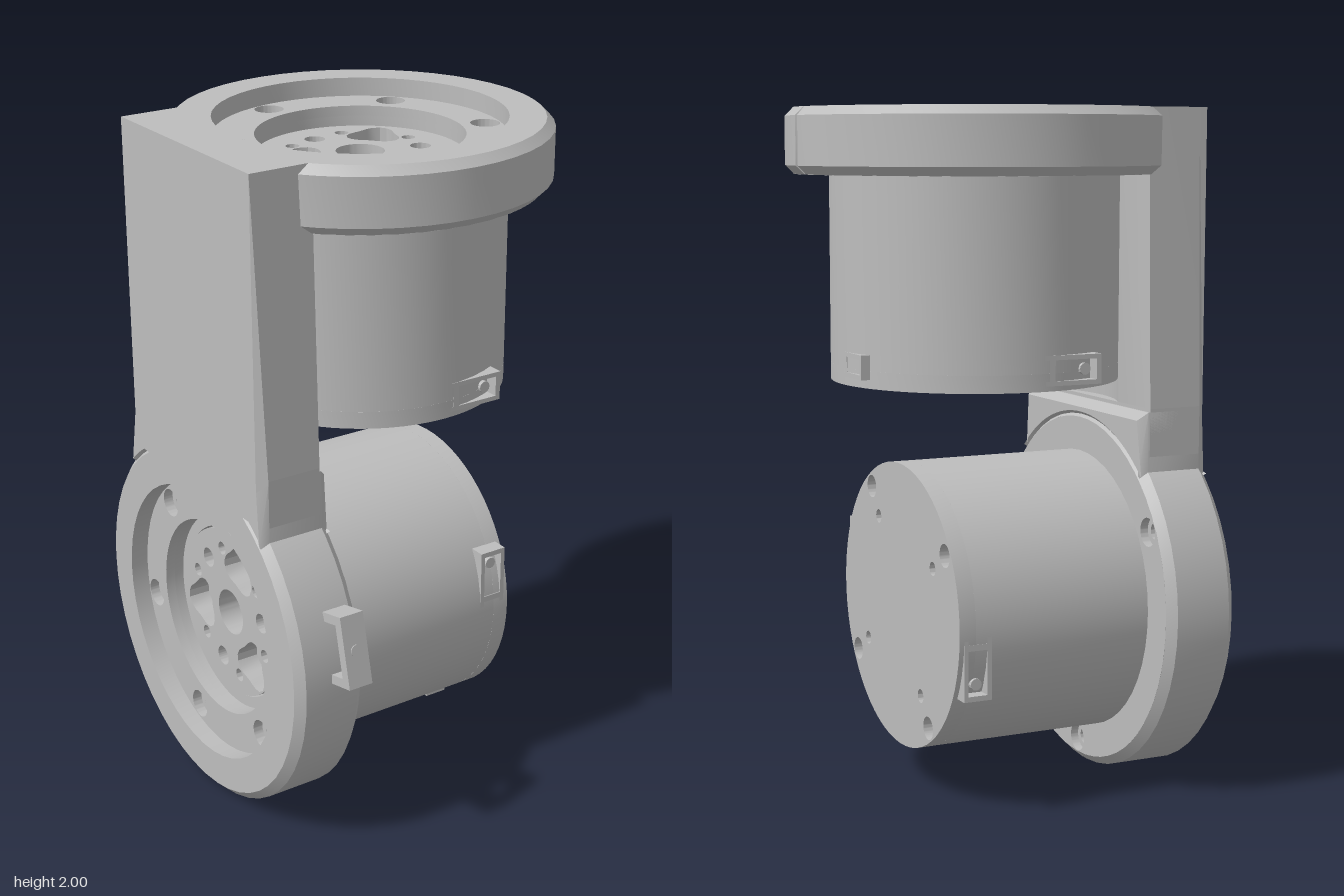
import * as THREE from 'three';
import { toCreasedNormals } from 'three/addons/utils/BufferGeometryUtils.js';

const CZ = -0.042;   // both motor axes lie in this plane
const R = 0.55;      // flange radius
const TAU = Math.PI * 2;

export function createModel() {
  const grey = new THREE.MeshStandardMaterial({ color: 0xbdbdbd });
  grey.name = 'machined grey';

  const add = (parent, name, geo) => {
    const mesh = new THREE.Mesh(toCreasedNormals(geo, 0.5), grey);
    mesh.name = name;
    parent.add(mesh);
    return mesh;
  };

  // evenly spaced round holes: count, pitch radius, hole radius, first angle in degrees
  const ring = (count, pitch, r, start) => Array.from({ length: count }, (_, i) => {
    const a = start * Math.PI / 180 + i * TAU / count;
    return new THREE.Path().absarc(pitch * Math.cos(a), pitch * Math.sin(a), r, 0, TAU, true);
  });

  // three-lobed lightening hole
  const lobe = (pitch, deg) => {
    const a = deg * Math.PI / 180, pts = [];
    for (let i = 0; i < 24; i++) {
      const t = -i * TAU / 24, r = 0.072 + 0.012 * Math.cos(3 * (t - a));
      pts.push(new THREE.Vector2(pitch * Math.cos(a) + r * Math.cos(t), pitch * Math.sin(a) + r * Math.sin(t)));
    }
    return new THREE.Path(pts);
  };

  // drilled disc or annulus whose upper face is at y = top
  const disc = (rOut, rIn, top, depth, holes) => {
    const s = new THREE.Shape().absarc(0, 0, rOut, 0, TAU, false);
    if (rIn) s.holes.push(new THREE.Path().absarc(0, 0, rIn, 0, TAU, true));
    s.holes.push(...holes);
    return new THREE.ExtrudeGeometry(s, { depth, bevelEnabled: false, curveSegments: 32 })
      .rotateX(Math.PI / 2).translate(0, top, 0);
  };

  const rect = (P, x, y, w, h) => new P([
    [-1, -1], [1, -1], [1, 1], [-1, 1],
  ].map(([u, v]) => new THREE.Vector2(x + u * w / 2, y + v * h / 2)));

  // socket frame with pins; faces +z before being turned round the motor
  const socket = (parent, name, angle, y, width, height, openings, pins) => {
    const g = new THREE.Group();
    g.name = name;
    const s = rect(THREE.Shape, 0, 0, width, height);
    openings.forEach(([x, w]) => s.holes.push(rect(THREE.Path, x, 0, w, height - 0.026)));
    add(g, 'socketFrame', new THREE.ExtrudeGeometry(s, { depth: 0.06, bevelEnabled: false }).translate(0.09, y, 0.362));
    pins.forEach(([x, r]) => add(g, 'socketPin',
      new THREE.CylinderGeometry(r, r, 0.05, 12).rotateX(Math.PI / 2).translate(0.09 + x, y, 0.385)));
    g.rotation.y = angle;
    parent.add(g);
  };

  // complete actuator: output faces +y with its rim at y = 0, index notch towards +x
  const actuator = (name, L, T) => {
    const g = new THREE.Group();
    g.name = name;
    const profile = [
      [0, -L + 0.05], [0.423, -L + 0.05], [0.423, -T + 0.05], [0.525, -T + 0.05], [0.525, -T],
      [R, -T + 0.025], [R, -0.025], [0.525, 0], [0.42, 0], [0.42, -0.115],
      [0.265, -0.115], [0.265, -0.175], [0, -0.175],
    ].map(([r, y]) => new THREE.Vector2(r, y));
    add(g, 'housing', new THREE.LatheGeometry(profile, 48, Math.PI / 2 + 0.015, TAU - 0.03));

    // narrow index notch closing the seam of the housing
    const notch = new THREE.LatheGeometry(profile, 2, Math.PI / 2 - 0.015, 0.03);
    const p = notch.attributes.position;
    for (let i = 0; i < p.count; i++) {
      if (Math.abs(p.getZ(i)) < 1e-4 && p.getX(i) > 0.53) p.setX(i, 0.53);
    }
    add(g, 'indexNotch', notch);

    // motor end cap
    add(g, 'endCap', disc(0.423, 0, -L + 0.05, 0.05,
      [...ring(4, 0.383, 0.034, 32.5), ...ring(4, 0.285, 0.02, 32.5)]));

    // counterbored flange underside and output-side ledge, each in two layers
    add(g, 'flangeUnderside', disc(0.525, 0.42, -T + 0.025, 0.025, ring(3, 0.48, 0.042, 0)));
    add(g, 'flangeBores', disc(0.525, 0.42, -T + 0.05, 0.025, ring(3, 0.48, 0.025, 0)));
    add(g, 'ledge', disc(0.42, 0.30, -0.055, 0.03, ring(6, 0.373, 0.043, 18)));
    add(g, 'ledgeBores', disc(0.42, 0.30, -0.085, 0.03, ring(6, 0.373, 0.024, 18)));

    // rotating output plate
    add(g, 'outputPlate', disc(0.26, 0, -0.108, 0.067, [
      ...ring(1, 0, 0.07, 0), ...ring(6, 0.2, 0.02, -12), ...ring(3, 0.18, 0.03, 17),
      ...[78, 198, 318].map(a => lobe(0.172, a)),
    ]));

    // power sockets on two opposite sides and a signal socket between them
    for (const a of [0, Math.PI]) {
      socket(g, 'powerSocket', a, -L + 0.057, 0.21, 0.085, [[-0.075, 0.035], [0.025, 0.13]],
        [[-0.01, 0.017], [0.06, 0.017], [-0.075, 0.008]]);
    }
    socket(g, 'signalSocket', Math.PI / 2, -L + 0.06, 0.12, 0.07, [[0, 0.094]],
      [[-0.025, 0.007], [0, 0.007], [0.025, 0.007]]);
    return g;
  };

  const model = new THREE.Group();
  model.name = 'twoAxisActuator';

  const upper = actuator('upperActuator', 0.785, 0.19);
  upper.position.set(0.01, 2, CZ);
  model.add(upper);

  // lower unit is the same part turned half round the diagonal: output to -x, notch down
  const lower = actuator('lowerActuator', 0.82, 0.22);
  lower.quaternion.setFromAxisAngle(new THREE.Vector3(1, -1, 0).normalize(), Math.PI);
  lower.position.set(-0.565, 0.55, CZ);
  model.add(lower);

  // upright bracket with chamfered rear edges and a scoop for the upper motor
  const upright = (scoop, top, depth) => {
    const s = new THREE.Shape();
    s.moveTo(-0.565, -0.345);
    s.lineTo(-0.54, -0.37);
    s.lineTo(-0.375, -0.37);
    if (scoop) {
      const a = Math.atan2(0.18, -0.385);
      s.lineTo(-0.375, -0.18);
      s.absarc(0.01, 0, 0.425, TAU - a, a, true);
    }
    s.lineTo(-0.375, 0.37);
    s.lineTo(-0.54, 0.37);
    s.lineTo(-0.565, 0.345);
    return new THREE.ExtrudeGeometry(s, { depth, bevelEnabled: false, curveSegments: 24 })
      .rotateX(Math.PI / 2).translate(0, top, 0);
  };
  const main = upright(true, 2, 0.86), mp = main.attributes.position;
  for (let i = 0; i < mp.count; i++) {   // chamfer the two top side edges
    if (mp.getY(i) > 1.99) mp.setZ(i, THREE.MathUtils.clamp(mp.getZ(i), -0.345, 0.345));
  }
  add(model, 'upright', main).position.z = CZ;
  add(model, 'uprightBase', upright(false, 1.14, 0.14)).position.z = CZ;

  // thicker web blending the upright into the lower flange
  const web = new THREE.Shape();
  const a0 = Math.atan2(0.36, 0.37);
  web.moveTo(0.37, 0.58);
  web.lineTo(-0.37, 0.58);
  web.lineTo(-0.37, 0.36);
  web.absarc(0, 0, Math.hypot(0.36, 0.37), Math.PI - a0, a0, true);
  add(model, 'flangeWeb', new THREE.ExtrudeGeometry(web, {
    depth: 0.17, bevelThickness: 0.025, bevelSize: 0.025, bevelOffset: -0.025, bevelSegments: 1, curveSegments: 24,
  }).rotateY(-Math.PI / 2)).position.set(-0.37, 0.55, CZ);

  // cable loop on the front of the lower flange
  const clip = new THREE.Group();
  clip.name = 'cableLoop';
  const loop = rect(THREE.Shape, 0, 0, 0.13, 0.21);
  loop.holes.push(rect(THREE.Path, 0, 0, 0.07, 0.155));
  const tilt = 0.23;
  add(clip, 'loopFrame', new THREE.ExtrudeGeometry(loop, { depth: 0.075, bevelEnabled: false })
    .rotateZ(tilt).rotateY(-Math.PI / 2));
  add(clip, 'loopScrew', new THREE.CylinderGeometry(0.018, 0.018, 0.008, 16)
    .rotateZ(Math.PI / 2).translate(0.064, 0, 0.0375).rotateZ(tilt).rotateY(-Math.PI / 2));
  clip.position.set(-0.38, 0.55 + 0.565 * Math.sin(tilt), CZ + 0.565 * Math.cos(tilt));
  model.add(clip);

  return model;
}
